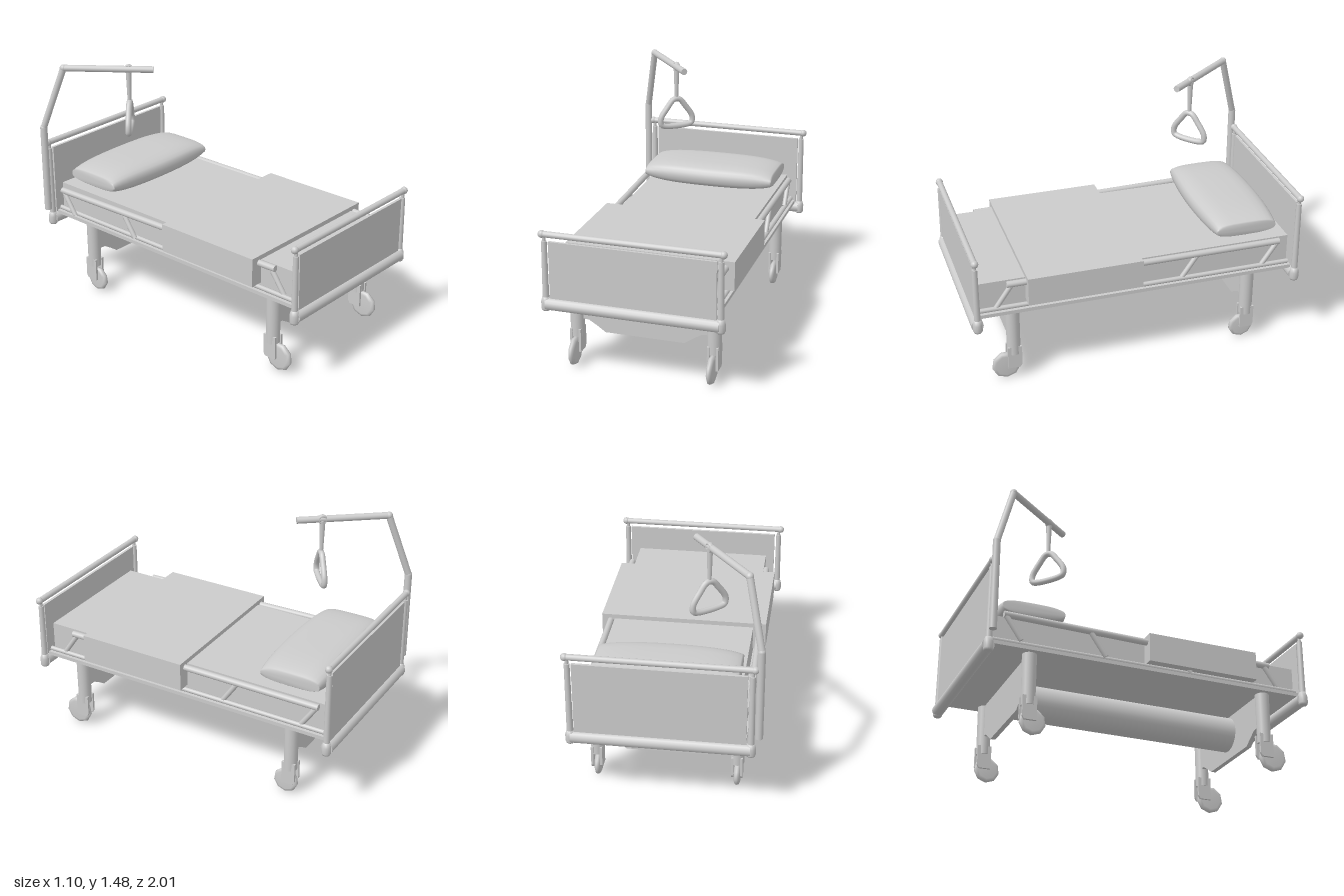
import * as THREE from 'three';

const CX = 0.015; // centre line of the bed itself
const grey = new THREE.MeshStandardMaterial({ color: 0xcccccc, side: THREE.DoubleSide });
const V = (x, y, z) => new THREE.Vector3(x, y, z);

function add(parent, name, geometry, x = 0, y = 0, z = 0) {
  const mesh = new THREE.Mesh(geometry, grey);
  mesh.name = name;
  mesh.position.set(x, y, z);
  parent.add(mesh);
  return mesh;
}

// Box given by its limits
function box(parent, name, x0, x1, y0, y1, z0, z1) {
  return add(parent, name, new THREE.BoxGeometry(x1 - x0, y1 - y0, z1 - z0),
    (x0 + x1) / 2, (y0 + y1) / 2, (z0 + z1) / 2);
}

// Straight round bar between two points
function bar(parent, name, a, b, r, r2 = r, sides = 14) {
  const d = b.clone().sub(a);
  const mesh = add(parent, name, new THREE.CylinderGeometry(r2, r, d.length(), sides));
  mesh.position.copy(a).addScaledVector(d, 0.5);
  mesh.quaternion.setFromUnitVectors(V(0, 1, 0), d.normalize());
  return mesh;
}

// Head or foot end: posts, rails and panel
function endBoard(name, z, top) {
  const g = new THREE.Group();
  g.name = name;
  box(g, 'panel', CX - 0.477, CX + 0.48, 0.47, top - 0.04, z - 0.008, z + 0.008);
  bar(g, 'topRail', V(CX - 0.522, top, z), V(CX + 0.522, top, z), 0.018);
  bar(g, 'bottomRail', V(CX - 0.5, 0.448, z), V(CX + 0.5, 0.448, z), 0.036);
  for (const s of [-1, 1]) {
    const x = CX + s * 0.503;
    bar(g, 'post', V(x, 0.45, z), V(x, top - 0.04, z), 0.019, 0.016);
    bar(g, 'postNeck', V(x, top - 0.05, z), V(x, top, z), 0.01);
    add(g, 'railKnob', new THREE.SphereGeometry(0.022, 12, 8), CX + s * 0.515, top, z);
    const foot = [[0, -0.04], [0.022, -0.04], [0.028, -0.028], [0.028, 0.012], [0.02, 0.04], [0, 0.04]];
    add(g, 'postFoot', new THREE.LatheGeometry(foot.map(p => new THREE.Vector2(...p)), 14), x, 0.45, z);
  }
  return g;
}

// Leg with fork and low-sided wheel
function leg(x, z, wheelZ, wheelR) {
  const g = new THREE.Group();
  g.name = 'leg';
  bar(g, 'legTube', V(x, 0.17, z), V(x, 0.48, z), 0.04, 0.042, 16);
  const fork = new THREE.Shape();
  fork.moveTo(-0.042, 0.22);
  fork.lineTo(-0.042, 0.1);
  fork.lineTo(-0.03, 0.08);
  fork.lineTo(0.042, 0.08);
  fork.lineTo(0.042, 0.22);
  const forkGeo = new THREE.ExtrudeGeometry(fork, { depth: 0.014, bevelEnabled: false })
    .translate(0, 0, -0.007).rotateY(-Math.PI / 2);
  for (const s of [-1, 1]) add(g, 'fork', forkGeo, x + s * 0.026, 0, z);
  const profile = [[0, -0.018], [0.75, -0.018], [0.95, -0.012], [1, 0], [0.95, 0.012], [0.75, 0.018], [0, 0.018]]
    .map(([r, h]) => new THREE.Vector2(r * wheelR, h));
  const wheel = add(g, 'wheel', new THREE.LatheGeometry(profile, 9).rotateZ(Math.PI / 2), x, wheelR + 0.004, wheelZ);
  wheel.rotation.x = 0.2;
  bar(g, 'axle', V(x - 0.03, wheelR + 0.015, wheelZ - 0.02), V(x + 0.03, wheelR + 0.015, wheelZ - 0.02), 0.012);
  return g;
}

// Notched cross plate between a pair of legs
function crossPlate(parent, z) {
  const half = [[0.4, 0.48], [0.4, 0.28], [0.335, 0.275], [0.285, 0.245], [0.235, 0.21]];
  const pts = [...half, ...half.map(([x, y]) => [-x, y]).reverse()];
  const shape = new THREE.Shape(pts.map(p => new THREE.Vector2(...p)));
  const geo = new THREE.ExtrudeGeometry(shape, { depth: 0.03, bevelEnabled: false });
  add(parent, 'crossPlate', geo, CX, 0, z - 0.015);
}

// Pillow: a squared-off sphere swept along x, thinner towards the ends
function pillow() {
  const nx = 16, nr = 24, pos = [], idx = [];
  const pw = (v, e) => Math.sign(v) * Math.pow(Math.abs(v), e);
  for (let i = 0; i <= nx; i++) {
    const u = -Math.cos(i / nx * Math.PI);
    const h = 0.036 + 0.039 * Math.pow(1 - u ** 4, 0.7);
    const d = 0.185 + 0.03 * (1 - u * u);
    for (let j = 0; j < nr; j++) {
      const a = j / nr * Math.PI * 2;
      pos.push(u * 0.415, h * pw(Math.sin(a), 0.75), d * pw(Math.cos(a), 0.6));
    }
  }
  for (let i = 0; i < nx; i++) for (let j = 0; j < nr; j++) {
    const a = i * nr + j, b = i * nr + (j + 1) % nr;
    idx.push(a, b, a + nr, b, b + nr, a + nr);
  }
  // end caps
  for (let j = 1; j < nr - 1; j++) {
    const e = nx * nr;
    idx.push(0, j + 1, j, e, e + j, e + j + 1);
  }
  const geo = new THREE.BufferGeometry();
  geo.setAttribute('position', new THREE.Float32BufferAttribute(pos, 3));
  geo.setIndex(idx);
  geo.computeVertexNormals();
  return geo;
}

// Side rail with slanted struts
function sideRail(name, xHead, xFoot) {
  const g = new THREE.Group();
  g.name = name;
  const xAt = z => THREE.MathUtils.mapLinear(z, -0.88, 0.78, xHead, xFoot);
  bar(g, 'rail', V(xHead, 0.655, -0.88), V(xFoot, 0.655, 0.78), 0.019);
  for (const z of [-0.865, -0.36, 0.17, 0.755]) {
    bar(g, 'strut', V(xAt(z), 0.645, z), V(xAt(z), 0.515, z + 0.09), 0.015, 0.015, 10);
  }
  return g;
}

// Bent pole with hanging grab handle
function liftPole() {
  const g = new THREE.Group();
  g.name = 'liftPole';
  const pts = [V(-0.53, 0.525, -0.957), V(-0.53, 1.07, -0.957), V(-0.447, 1.455, -0.845), V(-0.115, 1.455, -0.42)];
  for (let i = 0; i < 3; i++) {
    const r = i ? 0.02 : 0.022;
    bar(g, 'poleSection', pts[i], pts[i + 1], r);
    if (i) add(g, 'poleJoint', new THREE.SphereGeometry(0.022, 14, 10), ...pts[i].toArray());
  }
  const handle = new THREE.Group();
  handle.name = 'grabHandle';
  handle.position.set(-0.203, 0, -0.54);
  handle.rotation.y = 0.68;
  const half = [[0.018, 1.243], [0.06, 1.195], [0.105, 1.125], [0.103, 1.085], [0.075, 1.073]];
  const loop = [...half, ...half.map(([x, y]) => [-x, y]).reverse()].map(([x, y]) => V(x, y, 0));
  const curve = new THREE.CatmullRomCurve3(loop, true, 'centripetal');
  add(handle, 'triangleGrip', new THREE.TubeGeometry(curve, 64, 0.018, 10, true));
  bar(handle, 'strap', V(0, 1.25, 0), V(0, 1.45, 0), 0.011, 0.018, 10);
  add(handle, 'strapLoop', new THREE.TorusGeometry(0.022, 0.007, 8, 18).scale(1, 1, 2.2).rotateY(Math.PI / 2), 0, 1.455, 0);
  g.add(handle);
  return g;
}

export function createModel() {
  const model = new THREE.Group();
  model.name = 'hospitalBed';

  // Ends
  model.add(endBoard('footboard', 0.968, 0.86), endBoard('headboard', -0.965, 0.96));

  // Base and bedding
  box(model, 'basePlate', -0.46, 0.49, 0.475, 0.497, -0.95, 0.955);
  box(model, 'mattress', -0.41, 0.435, 0.497, 0.67, -0.945, 0.95);
  box(model, 'blanket', -0.487, 0.512, 0.525, 0.697, -0.015, 0.667);
  add(model, 'pillow', pillow(), CX, 0.755, -0.68);

  // Side rails and the thin bars they stand on
  model.add(sideRail('rightRail', -0.472, -0.425), sideRail('leftRail', 0.46, 0.46));
  for (const x of [-0.435, 0.465]) bar(model, 'lowerBar', V(x, 0.511, -0.94), V(x, 0.511, 0.95), 0.014, 0.014, 8);

  // Undercarriage
  for (const x of [-0.393, 0.423]) {
    model.add(leg(x, 0.747, 0.795, 0.087), leg(x, -0.7, -0.673, 0.077));
  }
  crossPlate(model, 0.74);
  crossPlate(model, -0.695);
  bar(model, 'liftTube', V(CX, 0.367, -0.69), V(CX, 0.367, 0.735), 0.105, 0.105, 28);

  model.add(liftPole());
  return model;
}
